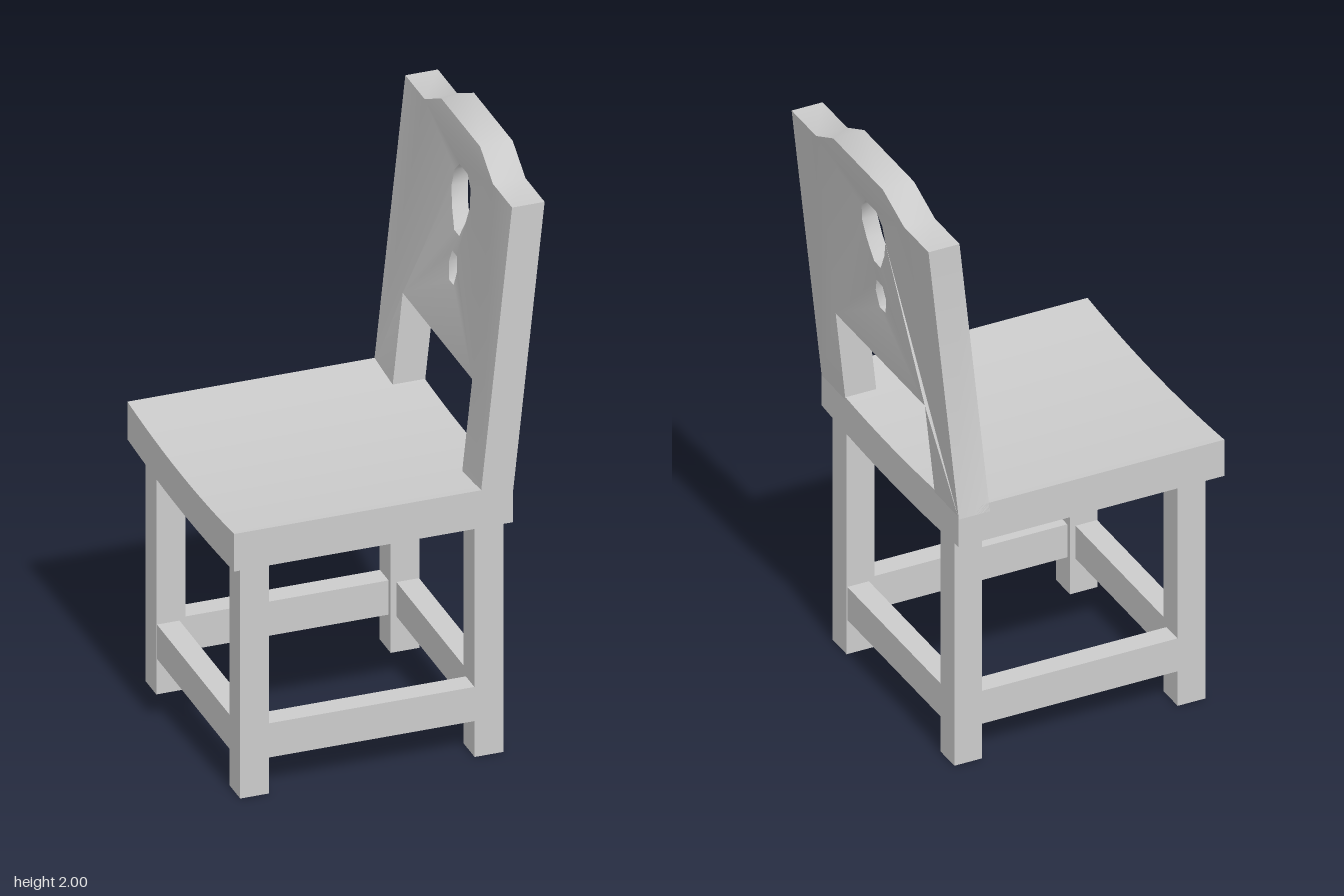
import * as THREE from 'three';
import { toCreasedNormals } from 'three/addons/utils/BufferGeometryUtils.js';

const material = new THREE.MeshStandardMaterial({ color: 0xcccccc });

function add(parent, name, geometry, x = 0, y = 0, z = 0) {
  const mesh = new THREE.Mesh(geometry, material);
  mesh.name = name;
  mesh.position.set(x, y, z);
  parent.add(mesh);
  return mesh;
}

const points = list => list.map(([x, y]) => new THREE.Vector2(x, y));

// Seat: a slab slightly dished across its width, extruded from back to front
function seatGeometry() {
  const W = 0.468, n = 12, lower = [], upper = [];
  for (let i = 0; i <= n; i++) {
    const t = -1 + 2 * i / n;
    const dip = 1 - t * t;
    lower.push([t * W, 0.83 - 0.018 * dip]);
    upper.unshift([t * W, 0.962 - 0.022 * dip]);
  }
  const shape = new THREE.Shape(points([...lower, ...upper]));
  const geometry = new THREE.ExtrudeGeometry(shape, { depth: 0.925, bevelEnabled: false });
  geometry.translate(0, 0, -0.407);
  return toCreasedNormals(geometry, 0.6);
}

// Back: posts and pierced panel in one outline, leaned backwards
function backGeometry() {
  const half = [[0.468, 1.935], [0.3, 1.935], [0.17, 2]];
  const mirrored = half.map(([x, y]) => [-x, y]).reverse();
  const shape = new THREE.Shape(points([
    [-0.468, 0.93], [-0.305, 0.93], [-0.305, 1.265], [0.305, 1.265], [0.305, 0.93], [0.468, 0.93],
    ...half, ...mirrored,
  ]));
  // Teardrop opening with a small opening below it
  const drop = [[0.035, 1.835], [0.07, 1.8], [0.08, 1.74], [0.06, 1.68], [0.022, 1.615]];
  const slot = [[0.02, 1.545], [0.036, 1.5], [0.02, 1.445]];
  for (const side of [drop, slot]) {
    const left = side.map(([x, y]) => [-x, y]).reverse();
    shape.holes.push(new THREE.Path(points([...side, ...left])));
  }
  const T = 0.108;
  const geometry = new THREE.ExtrudeGeometry(shape, { depth: T, bevelEnabled: false });
  const p = geometry.attributes.position;
  for (let i = 0; i < p.count; i++) {
    const x = p.getX(i), y = p.getY(i);
    let z = p.getZ(i);
    // The panel thins out towards the openings
    if (Math.abs(x) < 0.1 && y > 1.4 && y < 1.9) z = T / 2 + (z - T / 2) * 0.5;
    p.setZ(i, z - 0.407 - 0.105 * (y - 0.94));
  }
  return toCreasedNormals(geometry, 0.7);
}

export function createModel() {
  const model = new THREE.Group();
  const chair = new THREE.Group();
  chair.name = 'chair';
  chair.rotation.y = -1.033;
  model.add(chair);

  add(chair, 'seat', seatGeometry());
  add(chair, 'backrest', backGeometry());

  // Square legs
  const S = 0.096, X = 0.368, front = 0.43, rear = -0.347;
  const leg = new THREE.BoxGeometry(S, 0.84, S);
  for (const side of [-1, 1]) {
    add(chair, side > 0 ? 'frontLegLeft' : 'frontLegRight', leg, side * X, 0.42, front);
    add(chair, side > 0 ? 'rearLegLeft' : 'rearLegRight', leg, side * X, 0.42, rear);
  }

  // Stretchers, almost flush with the outer faces of the legs
  const H = 0.12, D = 0.075, inset = (S - D) / 2 - 0.002;
  const cross = new THREE.BoxGeometry(2 * X - S + 0.02, H, D);
  const along = new THREE.BoxGeometry(D, H, front - rear - S + 0.02);
  add(chair, 'frontStretcher', cross, 0, 0.185, front + inset);
  add(chair, 'rearStretcher', cross, 0, 0.185, rear - inset);
  for (const side of [-1, 1]) {
    add(chair, side > 0 ? 'sideStretcherLeft' : 'sideStretcherRight', along,
      side * (X + inset), 0.185, (front + rear) / 2);
  }
  return model;
}
